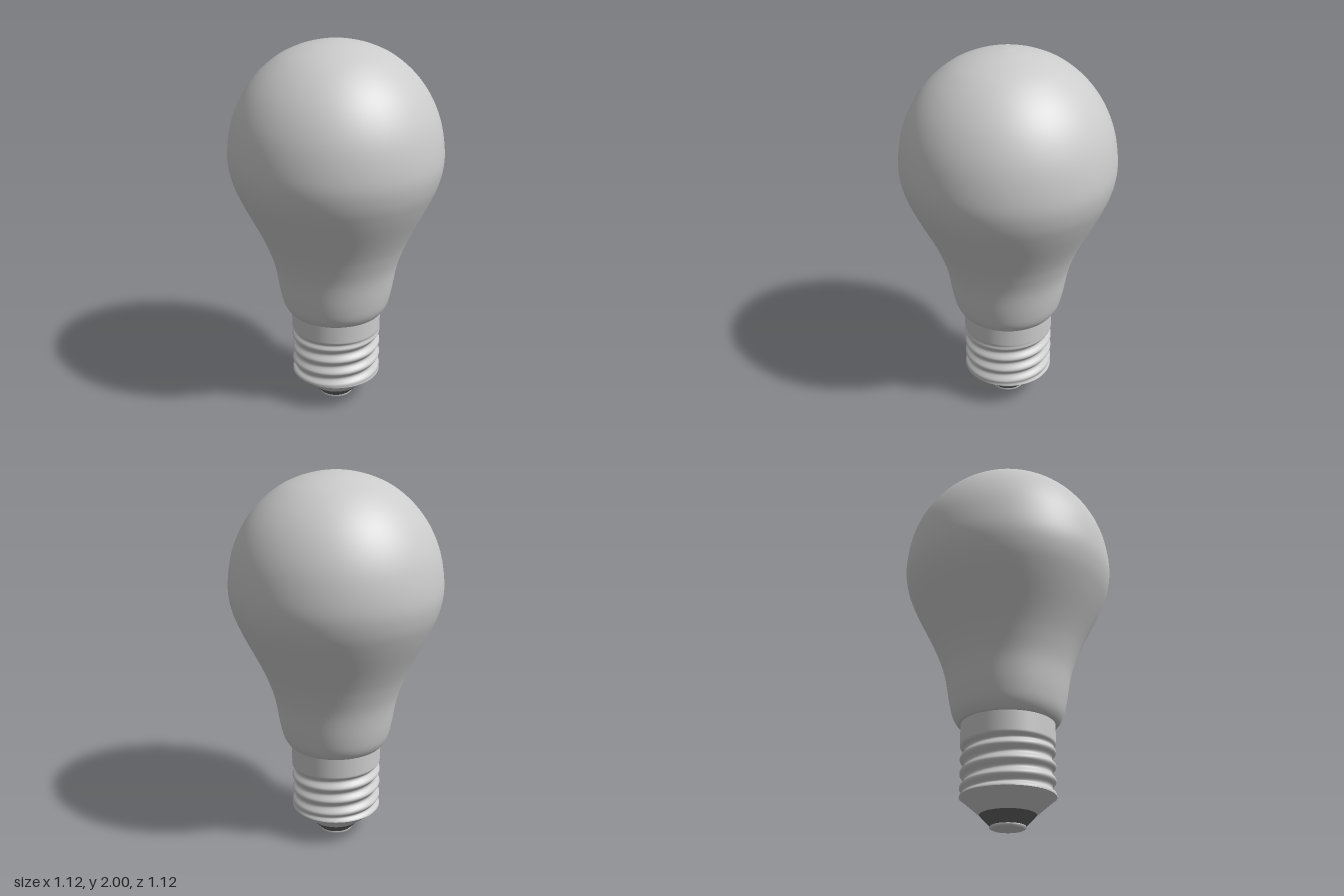
import * as THREE from 'three';

const SEGMENTS = 96;

function lathe(name, points, color = 0xcccccc) {
  const geometry = new THREE.LatheGeometry(points, SEGMENTS);
  const mesh = new THREE.Mesh(geometry, new THREE.MeshStandardMaterial({ color, side: THREE.DoubleSide }));
  mesh.name = name;
  return mesh;
}

const toPoints = (list) => list.map(([r, y]) => new THREE.Vector2(r, y));

// Glass envelope: smooth profile from the neck rim up to the slightly pointed crown
function makeGlass() {
  const curve = new THREE.SplineCurve(toPoints([
    [0.24, 0.53], [0.258, 0.535], [0.285, 0.58], [0.305, 0.66], [0.33, 0.8], [0.366, 0.91], [0.41, 1.01],
    [0.495, 1.18], [0.542, 1.3], [0.558, 1.42], [0.535, 1.58], [0.48, 1.715],
    [0.4, 1.825], [0.3, 1.91], [0.2, 1.96], [0.1, 1.988], [0, 2],
  ]));
  return lathe('glassBulb', curve.getPoints(90));
}

// Screw shell: a cylinder whose radius ripples along a helix
function makeScrew() {
  const y0 = 0.155, y1 = 0.53, rows = 90, pitch = 0.074;
  const profile = [];
  for (let i = 0; i <= rows; i++) profile.push(new THREE.Vector2(0.24, y0 + (y1 - y0) * i / rows));
  const screw = lathe('screwShell', profile);
  const pos = screw.geometry.attributes.position;
  for (let i = 0; i < pos.count; i++) {
    const x = pos.getX(i), y = pos.getY(i), z = pos.getZ(i);
    // The seam column stays closed because a full turn equals one pitch
    const wave = Math.cos(2 * Math.PI * (y - 0.385) / pitch - Math.atan2(x, z));
    const fade = THREE.MathUtils.smoothstep(y, y0, y0 + 0.03) * (1 - THREE.MathUtils.smoothstep(y, 0.395, 0.43));
    const r = 0.243 + fade * 0.011 * (wave - 1);
    pos.setXYZ(i, x / 0.24 * r, y, z / 0.24 * r);
  }
  screw.geometry.computeVertexNormals();
  // Match normals across the seam
  const n = screw.geometry.attributes.normal, a = new THREE.Vector3(), b = new THREE.Vector3();
  for (let j = 0; j <= rows; j++) {
    const last = SEGMENTS * (rows + 1) + j;
    a.fromBufferAttribute(n, j).add(b.fromBufferAttribute(n, last)).normalize();
    n.setXYZ(j, a.x, a.y, a.z);
    n.setXYZ(last, a.x, a.y, a.z);
  }
  return screw;
}

export function createModel() {
  const model = new THREE.Group();
  model.name = 'lightBulb';
  model.add(makeGlass(), makeScrew());

  // Tapered base below the thread, dark insulator ring and end contact
  model.add(lathe('baseCone', toPoints([[0.142, 0.07], [0.235, 0.15], [0.243, 0.155]])));
  model.add(lathe('insulator', toPoints([[0.088, 0.014], [0.142, 0.07]]), 0x666666));
  model.add(lathe('contactRim', toPoints([[0.08, 0], [0.092, 0.006], [0.088, 0.016]])));
  model.add(lathe('contactFace', toPoints([[0, 0], [0.08, 0]])));
  return model;
}
